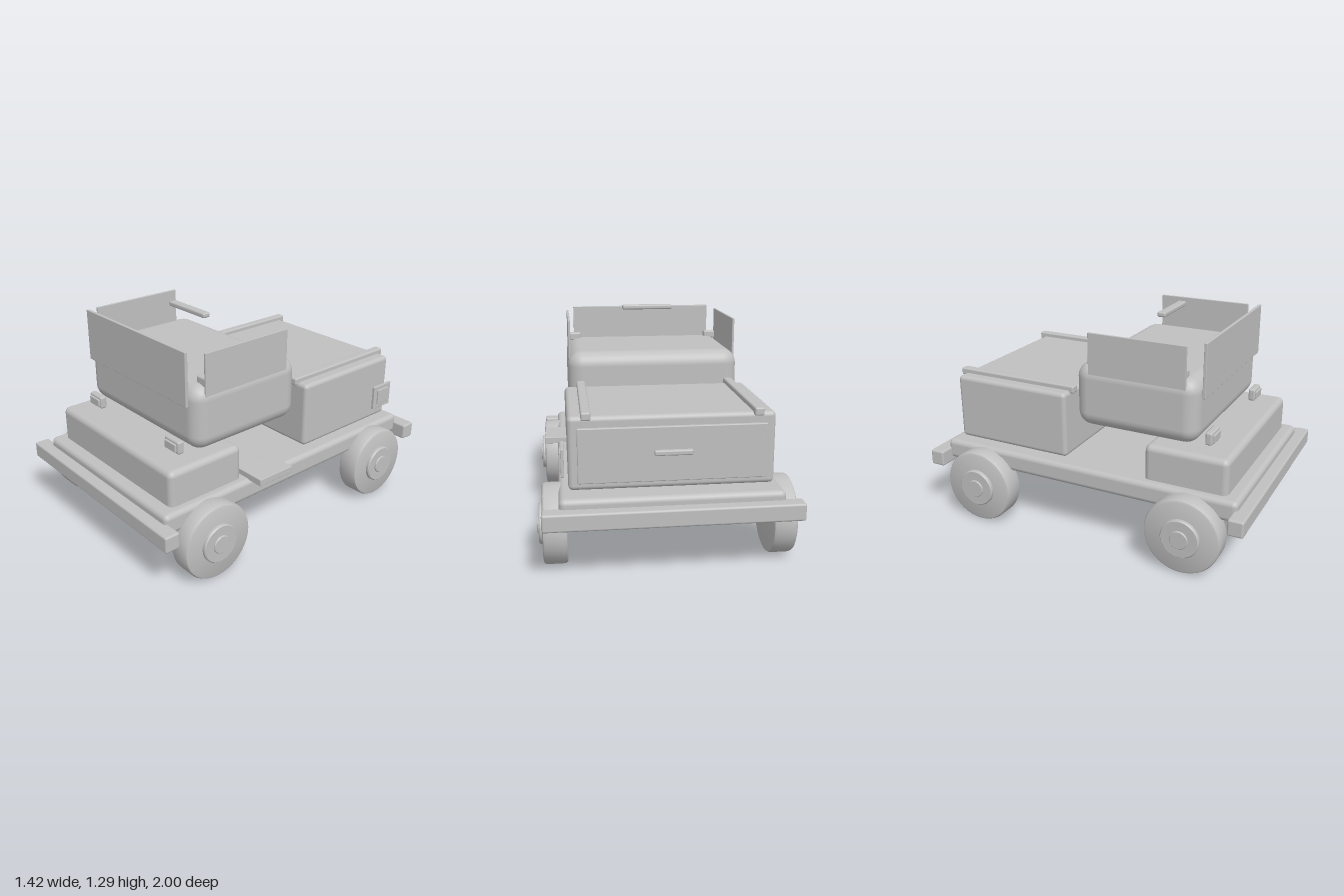
import * as THREE from 'three';
import { RoundedBoxGeometry } from 'three/addons/geometries/RoundedBoxGeometry.js';
import { toCreasedNormals } from 'three/addons/utils/BufferGeometryUtils.js';

export function createModel() {
  const model = new THREE.Group();
  model.name = 'utilityTruck';
  const grey = new THREE.MeshStandardMaterial({ color: 0xc0c0c0 });
  grey.name = 'plain grey';

  // Rounded block given by its extents: [min, max] on each axis
  function block(name, [x0, x1], [y0, y1], [z0, z1], radius = 0.005, segments = 2) {
    const geometry = new RoundedBoxGeometry(x1 - x0, y1 - y0, z1 - z0, segments, radius);
    const mesh = new THREE.Mesh(geometry, grey);
    mesh.name = name;
    mesh.position.set((x0 + x1) / 2, (y0 + y1) / 2, (z0 + z1) / 2);
    model.add(mesh);
    return mesh;
  }

  // The same block on both sides of the model
  function pair(name, [x0, x1], y, z, radius) {
    block(name + 'Left', [x0, x1], y, z, radius);
    block(name + 'Right', [-x1, -x0], y, z, radius);
  }

  // Chassis and bumpers
  block('chassis', [-0.59, 0.59], [0.325, 0.447], [-0.934, 0.934], 0.03, 3);
  block('frontBumper', [-0.678, 0.678], [0.303, 0.398], [0.91, 1.0], 0.012);
  block('rearBumper', [-0.678, 0.678], [0.303, 0.398], [-1.0, -0.91], 0.012);

  // Body volumes
  block('frontDeck', [-0.538, 0.538], [0.41, 0.648], [0.375, 0.86], 0.035, 3);
  block('cab', [-0.515, 0.515], [0.673, 1.044], [-0.07, 0.664], 0.085, 4);
  block('cargoBox', [-0.538, 0.538], [0.468, 0.857], [-0.857, -0.118], 0.025, 3);
  pair('roofRail', [0.418, 0.469], [0.84, 0.884], [-0.88, -0.1], 0.01);

  // Window panels and roof details
  block('windshield', [-0.462, 0.462], [0.938, 1.241], [0.672, 0.69], 0.004);
  pair('sideWindow', [0.496, 0.509], [0.93, 1.226], [0.02, 0.596], 0.003);
  pair('cornerLamp', [0.418, 0.494], [1.03, 1.08], [0.537, 0.584], 0.01);
  block('roofLightBar', [-0.158, 0.158], [1.26, 1.289], [0.273, 0.322], 0.01);

  // Headlights
  pair('headlight', [0.314, 0.436], [0.668, 0.742], [0.686, 0.727], 0.012);
  pair('headlightLens', [0.326, 0.42], [0.68, 0.727], [0.715, 0.738], 0.005);

  // Side step and filler door on the left
  block('sideStep', [0.47, 0.671], [0.44, 0.48], [0.112, 0.355], 0.004);
  block('fillerDoor', [0.557, 0.574], [0.543, 0.693], [-0.86, -0.703], 0.004);
  block('fillerLatch', [0.57, 0.583], [0.573, 0.668], [-0.828, -0.732], 0.004);

  // Tailgate
  block('tailgate', [-0.49, 0.49], [0.51, 0.8], [-0.876, -0.85], 0.005);
  block('tailgateHandle', [-0.1, 0.1], [0.652, 0.68], [-0.902, -0.872], 0.008);

  // Wheels: tyre with softened edges, hub disc and cap, outer side along +y
  const turned = (points) => toCreasedNormals(
    new THREE.LatheGeometry(points.map(([r, y]) => new THREE.Vector2(r, y)), 40), 0.6);
  const tyre = turned([
    [0, -0.066], [0.203, -0.066], [0.214, -0.061], [0.22, -0.049],
    [0.22, 0.049], [0.214, 0.061], [0.203, 0.066], [0, 0.066],
  ]);
  const hub = turned([[0, 0.05], [0.112, 0.05], [0.112, 0.08], [0.106, 0.087], [0, 0.087]]);
  const cap = turned([[0, 0.08], [0.053, 0.08], [0.053, 0.092], [0.049, 0.096], [0, 0.096]]);
  for (const [end, z] of [['front', 0.658], ['rear', -0.658]]) {
    for (const [side, s] of [['Left', 1], ['Right', -1]]) {
      const wheel = new THREE.Group();
      wheel.name = end + side + 'Wheel';
      for (const [name, geometry] of [['tyre', tyre], ['hub', hub], ['hubCap', cap]]) {
        const mesh = new THREE.Mesh(geometry, grey);
        mesh.name = name;
        wheel.add(mesh);
      }
      wheel.rotation.z = -s * Math.PI / 2;
      wheel.position.set(s * 0.613, 0.222, z);
      model.add(wheel);
    }
  }

  // Stand exactly on the ground
  model.position.y = -0.002;
  return model;
}
